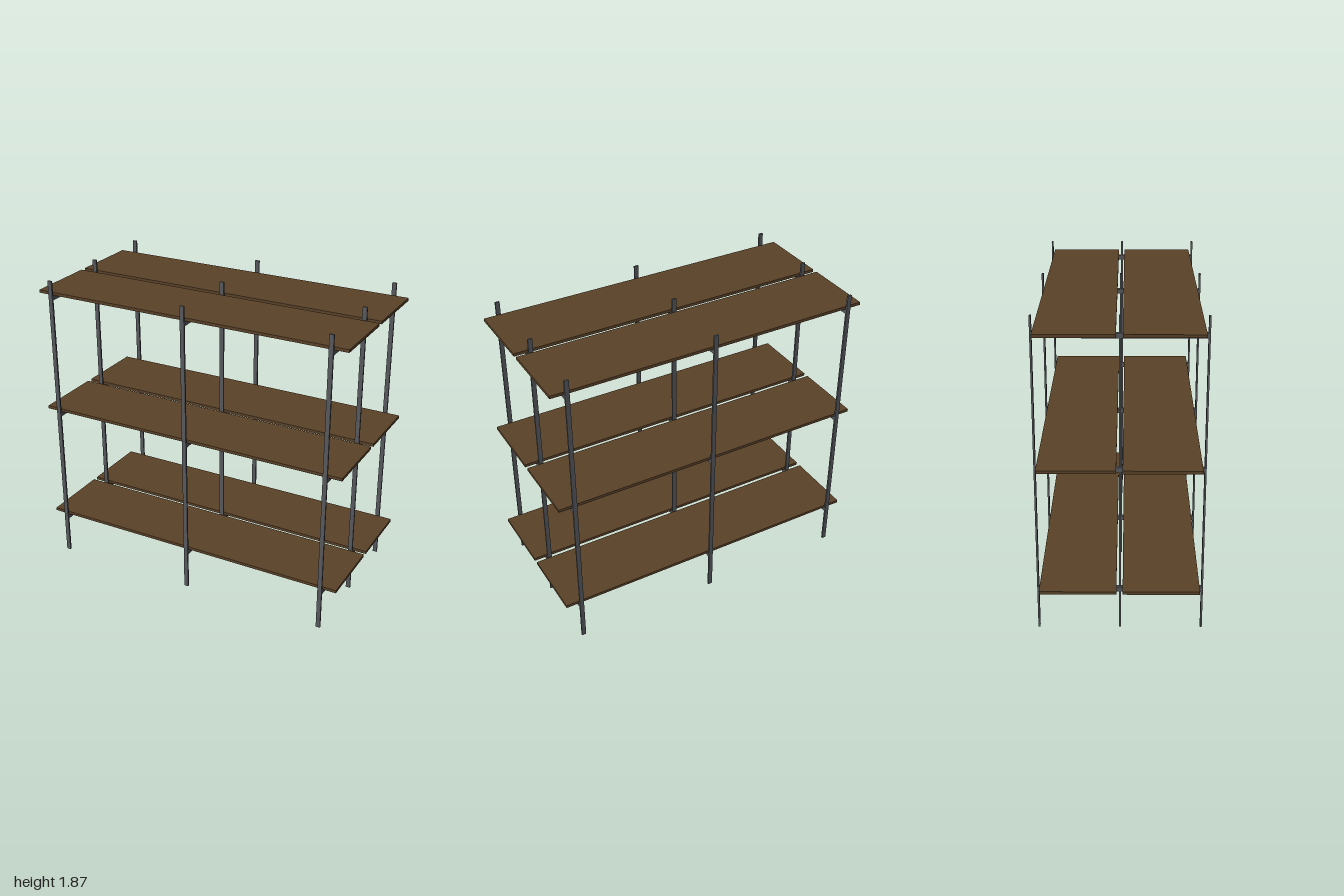
import * as THREE from 'three';

const HEIGHT = 1.87, BAR = 0.027, STRIP = 0.011;
const POST_X = [-0.905, 0, 0.905];
const POST_Z = [-0.469, 0, 0.469];
const SHELF_TOPS = [0.28, 1.027, 1.795];
const BOARD_Z = [-0.24, 0.234];
const BOARD_T = 0.018, BOARD_D = 0.438;

export function createModel() {
  const model = new THREE.Group();
  model.name = 'shelvingUnit';
  const steel = new THREE.MeshStandardMaterial({ color: 0x56585c });
  const wood = new THREE.MeshStandardMaterial({ color: 0x5a4228 });

  const addBox = (name, material, size, position) => {
    const mesh = new THREE.Mesh(new THREE.BoxGeometry(...size), material);
    mesh.name = name;
    mesh.position.set(...position);
    model.add(mesh);
  };

  // Flat upright posts, three frames of three
  for (const x of POST_X)
    for (const z of POST_Z)
      addBox('post', steel, [BAR, HEIGHT, STRIP], [x, HEIGHT / 2, z]);

  for (const top of SHELF_TOPS) {
    // Cross bars joining the posts front to back under the boards
    for (const x of POST_X)
      addBox('crossBar', steel, [BAR, BAR, 0.928], [x, top - BOARD_T - BAR / 2, 0]);

    // Two long boards with a gap around the middle posts
    for (const z of BOARD_Z)
      addBox('shelfBoard', wood, [2, BOARD_T, BOARD_D], [0, top - BOARD_T / 2, z]);
  }
  return model;
}
